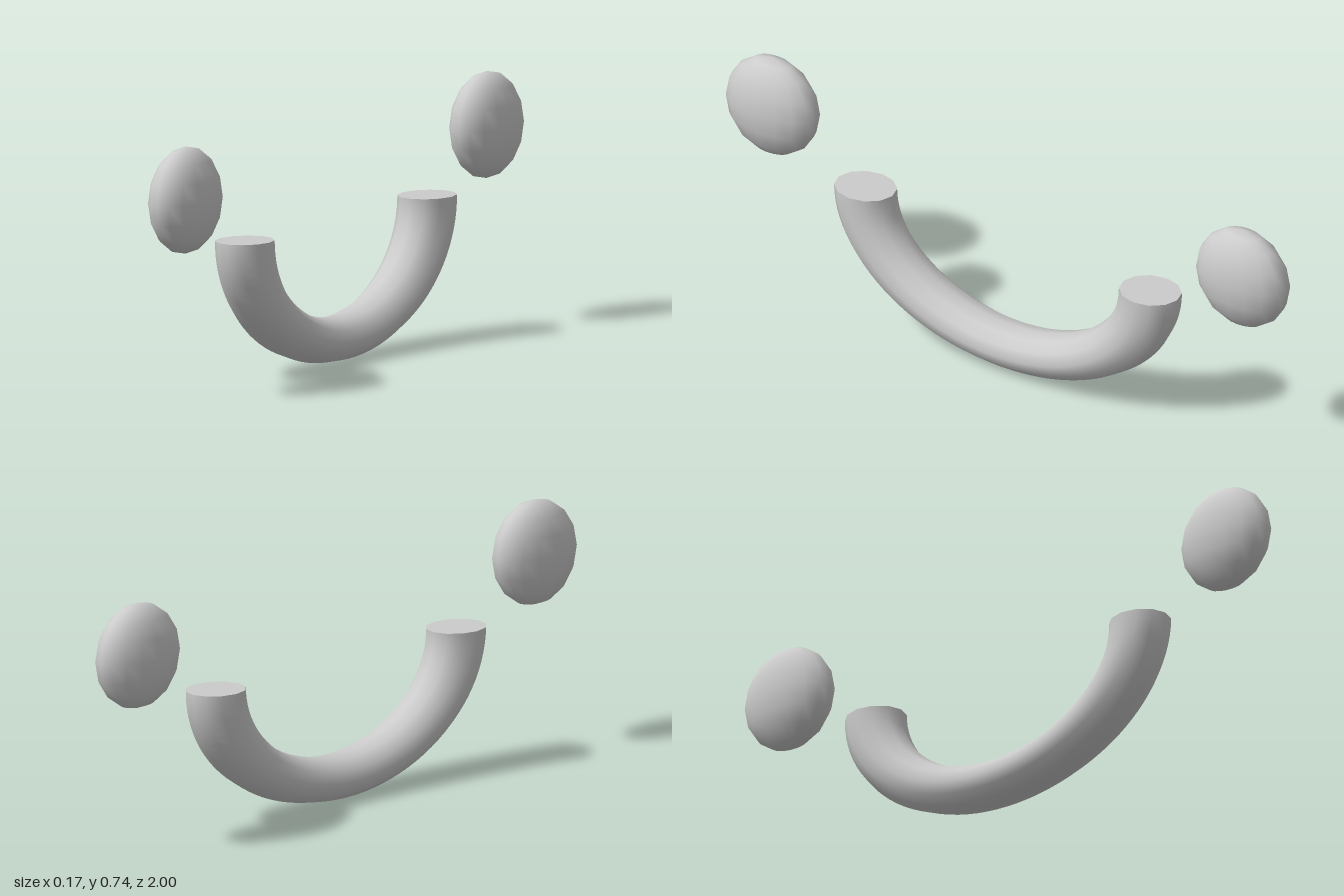
import * as THREE from 'three';

export function createModel() {
  const model = new THREE.Group();
  const material = new THREE.MeshStandardMaterial({ color: 0xcccccc });
  const add = (name, geometry, y, z) => {
    const mesh = new THREE.Mesh(geometry, material);
    mesh.name = name;
    mesh.position.set(0, y, z);
    model.add(mesh);
  };

  const ringRadius = 0.51, tubeRadius = 0.096, topY = 0.425;
  const widthScale = 0.084 / tubeRadius, heightScale = 0.697;

  // Flattened half ring, opening upward, running front to back
  const arc = new THREE.TorusGeometry(ringRadius, tubeRadius, 12, 48, Math.PI);
  arc.rotateZ(Math.PI).rotateY(Math.PI / 2).scale(widthScale, heightScale, 1);
  add('curvedBar', arc, topY, 0);

  for (const [side, s] of [['front', 1], ['back', -1]]) {
    // Flat cap closing each end of the bar
    const cap = new THREE.CircleGeometry(tubeRadius, 12);
    cap.rotateX(-Math.PI / 2).scale(widthScale, 1, 1);
    add(side + 'EndCap', cap, topY, s * ringRadius);

    // Flattened ball floating beyond each end
    const ball = new THREE.SphereGeometry(0.158, 16, 8);
    ball.scale(0.084 / 0.158, 1, 1);
    add(side + 'Ball', ball, 0.588, s * 0.842);
  }
  return model;
}
